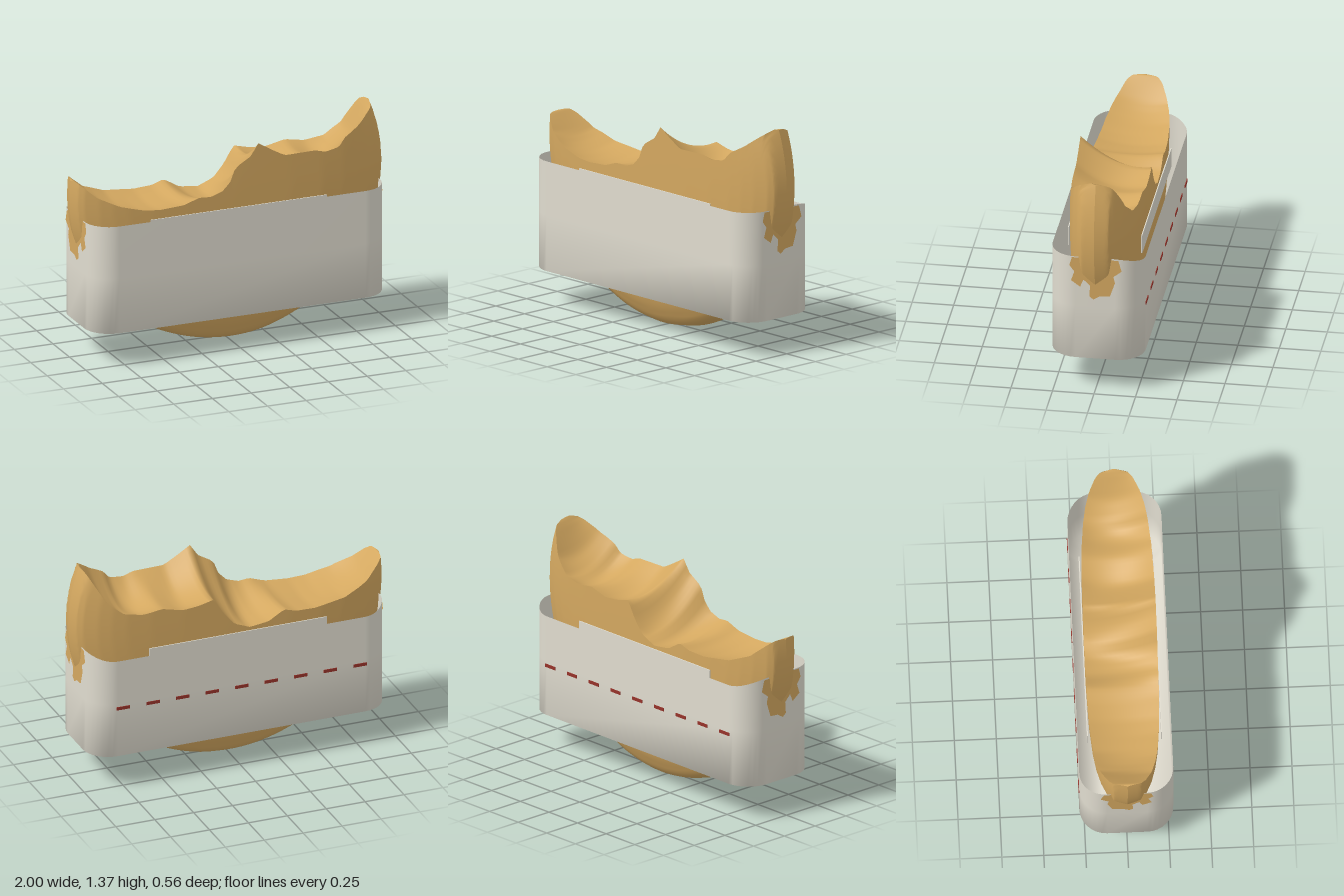
import * as THREE from 'three';

// Linear interpolation through [x, y] points
function along(points, x) {
  if (x <= points[0][0]) return points[0][1];
  for (let i = 1; i < points.length; i++) {
    const [x0, y0] = points[i - 1], [x1, y1] = points[i];
    if (x <= x1) return y0 + (y1 - y0) * (x - x0) / (x1 - x0);
  }
  return points[points.length - 1][1];
}

// Grid surface from a rule; closed joins the last column to the first
function sheet(cols, rows, rule, closed = false) {
  const pos = [], idx = [], w = closed ? cols : cols + 1;
  for (let j = 0; j <= rows; j++)
    for (let i = 0; i < w; i++) pos.push(...rule(i, j));
  for (let j = 0; j < rows; j++)
    for (let i = 0; i < cols; i++) {
      const n = (i + 1) % w;
      const a = j * w + i, b = j * w + n, c = (j + 1) * w + n, d = (j + 1) * w + i;
      idx.push(a, b, c, a, c, d);
    }
  const g = new THREE.BufferGeometry();
  g.setAttribute('position', new THREE.Float32BufferAttribute(pos, 3));
  g.setIndex(idx);
  g.computeVertexNormals();
  return g;
}

// Half thickness of the round loaf by radius
const THICK = [[0, 0.218], [0.35, 0.215], [0.55, 0.207], [0.7, 0.192], [0.79, 0.175],
  [0.87, 0.15], [0.95, 0.11], [0.982, 0.08], [1, 0]];

// Height of the bitten edge on the front and on the back
const FRONT = [[-0.98, 1.12], [-0.88, 1.035], [-0.75, 0.975], [-0.6, 0.937], [-0.5, 0.93],
  [-0.35, 0.94], [-0.25, 0.975], [-0.18, 0.968], [-0.1, 0.995], [-0.05, 1.05], [-0.02, 1.13],
  [0.03, 1.16], [0.08, 1.19], [0.13, 1.265], [0.22, 1.21], [0.3, 1.165], [0.5, 1.165],
  [0.57, 1.145], [0.66, 1.16], [0.7, 1.21], [0.8, 1.265], [0.91, 1.35], [1, 1.5]];
const BACK = [[-0.98, 1.12], [-0.85, 1.01], [-0.7, 0.95], [-0.5, 0.925], [-0.38, 0.93],
  [-0.3, 0.955], [-0.2, 0.895], [-0.08, 0.88], [0.02, 0.92], [0.09, 1.0], [0.15, 1.105],
  [0.25, 1.08], [0.35, 1.07], [0.48, 1.1], [0.6, 1.08], [0.72, 1.1], [0.82, 1.18],
  [0.91, 1.34], [1, 1.5]];
// How far each bite is hollowed between the two edges
const DIP = [[-0.97, 0], [-0.8, 0.03], [-0.5, 0.03], [-0.3, 0.02], [-0.1, 0.05], [0.05, 0.06],
  [0.13, 0.05], [0.3, 0.07], [0.46, 0.045], [0.62, 0.07], [0.8, 0.05], [0.9, 0]];

const halfChord = x => Math.sqrt(Math.max(0, 1 - x * x));
const edgeY = (x, table) => Math.min(along(table, x), 1 + halfChord(x));
const thickAt = (x, y) => along(THICK, Math.min(1, Math.hypot(x, y - 1)));

function addLoaf(parent, material) {
  const N = 120, M = 28;
  const xAt = i => Math.sin((i / N * 2 - 1) * Math.PI / 2 * 0.996);
  const side = (sign, table) => (i, j) => {
    const x = xAt(i), bottom = 1 - halfChord(x), top = edgeY(x, table);
    const t = (sign > 0 ? j : M - j) / M;
    const y = bottom + (top - bottom) * Math.pow(t, 1.6);
    return [x, y, sign * thickAt(x, y)];
  };
  const bitten = (i, j) => {
    const x = xAt(i), s = 1 - 2 * j / 14;
    const f = edgeY(x, FRONT), b = edgeY(x, BACK);
    const zf = thickAt(x, f), zb = -thickAt(x, b), k = (s + 1) / 2;
    return [x, b + (f - b) * k - along(DIP, x) * (1 - s * s), zb + (zf - zb) * k];
  };
  const add = (name, g) => {
    const m = new THREE.Mesh(g, material);
    m.name = name;
    parent.add(m);
  };
  add('loafFront', sheet(N, M, side(1, FRONT)));
  add('loafBack', sheet(N, M, side(-1, BACK)));
  add('bittenTop', sheet(N, 14, bitten));
}

// Open sleeve with rounded corners and a floor
function sleeveGeometry() {
  const X = 0.955, Z = 0.28, R = 0.16, outline = [];
  [[1, 1, 0], [-1, 1, 1], [-1, -1, 2], [1, -1, 3]].forEach(([sx, sz, q]) => {
    for (let k = 0; k <= 8; k++) {
      const a = (q + k / 8) * Math.PI / 2;
      outline.push([sx * (X - R) + R * Math.cos(a), sz * (Z - R) + R * Math.sin(a)]);
    }
  });
  const rim = z => z > -0.1 ? 0.89 : 0.89 - 0.048 * Math.pow((-z - 0.1) / 0.18, 2);
  return sheet(outline.length, 4, (i, j) => {
    const [x, z] = outline[i];
    if (j === 0) return [x, rim(z), z];
    if (j === 1) return [x, 0.56, z];
    if (j === 2) return [x, 0.215, z];
    if (j === 3) return [Math.sign(x) * (Math.abs(x) - 0.12), 0.215, z * 0.5];
    return [Math.sign(x) * Math.max(0, Math.abs(x) - 0.3), 0.215, 0];
  }, true);
}

export function createModel() {
  const group = new THREE.Group();
  const mat = (name, color, side = THREE.FrontSide) => {
    const m = new THREE.MeshStandardMaterial({ color, side });
    m.name = name;
    return m;
  };
  const crust = mat('golden crust', 0xd4a860);
  const crustPatch = crust.clone();
  crustPatch.side = THREE.DoubleSide;
  const paper = mat('off-white paper', 0xe0dccf, THREE.DoubleSide);
  const red = mat('dark red', 0x96332a);

  // Round loaf with bites taken from the top
  const loaf = new THREE.Group();
  loaf.name = 'loaf';
  addLoaf(loaf, crust);
  group.add(loaf);

  // Paper sleeve
  const sleeve = new THREE.Mesh(sleeveGeometry(), paper);
  sleeve.name = 'sleeve';
  group.add(sleeve);

  // Paper lining against both faces of the loaf
  for (const s of [1, -1]) {
    const lining = new THREE.Mesh(new THREE.BoxGeometry(1.14, 0.12, 0.006), paper);
    lining.name = 'lining';
    lining.position.set(0, s > 0 ? 0.82 : 0.8, s * 0.221);
    group.add(lining);
  }

  // Ragged crust showing through both ends
  const ragged = new THREE.Shape([[0.14, 0.885], [0.155, 0.83], [0.125, 0.79], [0.145, 0.73],
    [0.09, 0.69], [0.07, 0.74], [0.03, 0.7], [0.035, 0.63], [0.01, 0.61], [-0.03, 0.635],
    [-0.09, 0.64], [-0.12, 0.73], [-0.11, 0.77], [-0.16, 0.81], [-0.14, 0.88],
  ].map(p => new THREE.Vector2(-p[0], p[1])));
  for (const s of [1, -1]) {
    const patch = new THREE.Mesh(new THREE.ShapeGeometry(ragged), crustPatch);
    patch.name = 'endPatch';
    patch.rotation.y = Math.PI / 2;
    patch.position.x = s * 0.957;
    group.add(patch);
  }

  // Dashed line across the back of the sleeve
  for (let i = -4; i <= 4; i++) {
    const dash = new THREE.Mesh(new THREE.BoxGeometry(0.085, 0.02, 0.006), red);
    dash.name = 'dash';
    dash.position.set(i * 0.19, 0.53, -0.281);
    group.add(dash);
  }
  return group;
}
